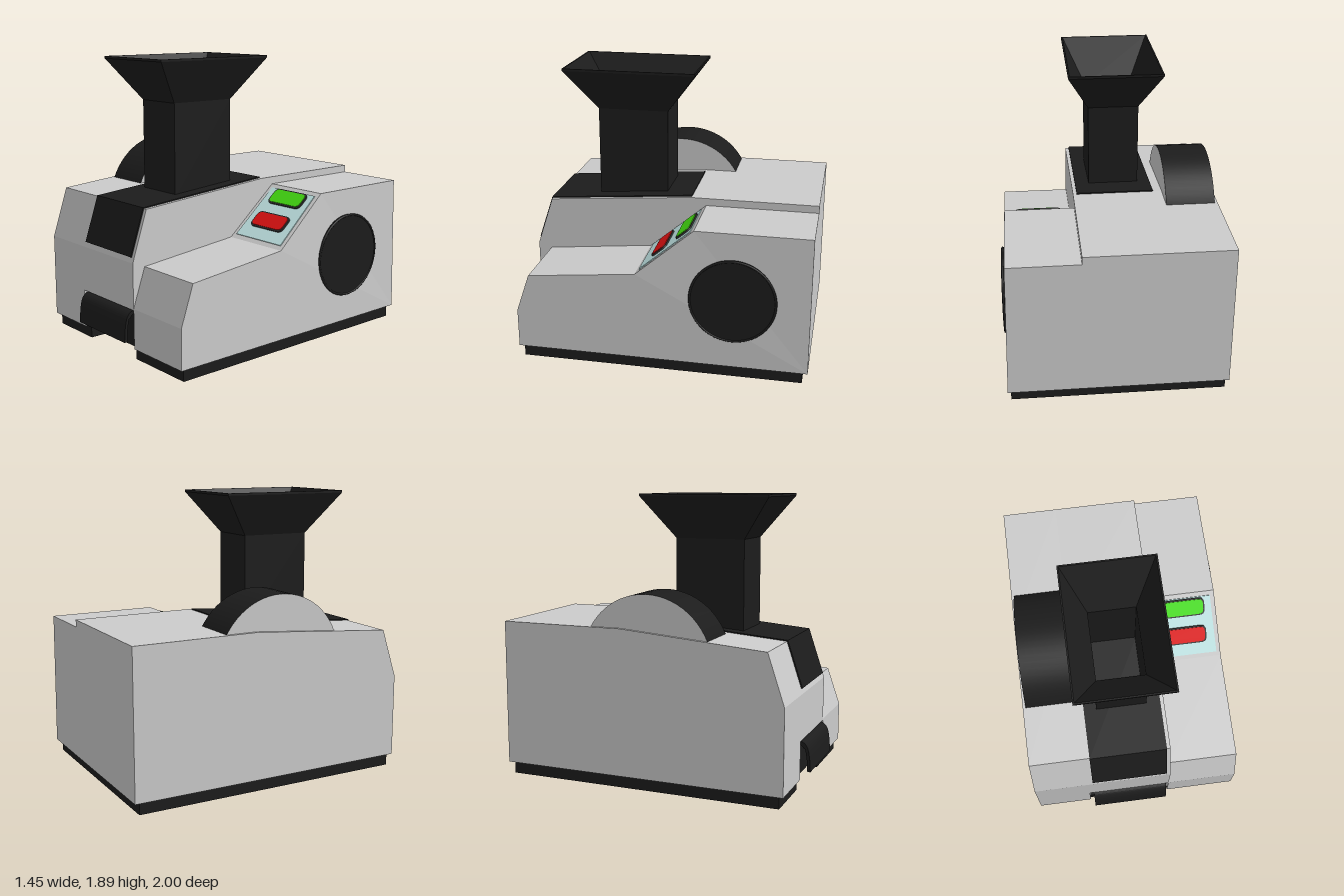
import * as THREE from 'three';

const mat = (color) => new THREE.MeshStandardMaterial({ color, flatShading: false });
const grey = mat(0xcccccc), black = mat(0x1c1c1c), dark = mat(0x333333);

function add(parent, name, geometry, material) {
  const mesh = new THREE.Mesh(geometry, material);
  mesh.name = name;
  parent.add(mesh);
  return mesh;
}

// Side profile of [z, y] points, extruded from x0 to x1
function extrudeX(points, x0, x1) {
  const shape = new THREE.Shape(points.map(([z, y]) => new THREE.Vector2(-z, y)));
  return new THREE.ExtrudeGeometry(shape, { depth: x1 - x0, bevelEnabled: false })
    .rotateY(Math.PI / 2).translate(x0, 0, 0);
}

function box(x0, x1, y0, y1, z0, z1) {
  return new THREE.BoxGeometry(x1 - x0, y1 - y0, z1 - z0)
    .translate((x0 + x1) / 2, (y0 + y1) / 2, (z0 + z1) / 2);
}

// Flat-shaded skin through rectangular rings [y, x0, x1, z0, z1]
function loftRects(rings) {
  const corners = rings.map(([y, x0, x1, z0, z1]) => [[x0, y, z1], [x1, y, z1], [x1, y, z0], [x0, y, z0]]);
  const pos = [];
  for (let r = 0; r < corners.length - 1; r++) {
    for (let i = 0; i < 4; i++) {
      const j = (i + 1) % 4;
      const a = corners[r][i], b = corners[r][j], c = corners[r + 1][j], d = corners[r + 1][i];
      pos.push(...a, ...b, ...c, ...a, ...c, ...d);
    }
  }
  const g = new THREE.BufferGeometry();
  g.setAttribute('position', new THREE.Float32BufferAttribute(pos, 3));
  g.computeVertexNormals();
  return g;
}

function roundedSlab(w, h, r, depth) {
  const x = w / 2, y = h / 2;
  const s = new THREE.Shape();
  s.moveTo(-x + r, -y);
  s.lineTo(x - r, -y).quadraticCurveTo(x, -y, x, -y + r);
  s.lineTo(x, y - r).quadraticCurveTo(x, y, x - r, y);
  s.lineTo(-x + r, y).quadraticCurveTo(-x, y, -x, y - r);
  s.lineTo(-x, -y + r).quadraticCurveTo(-x, -y, -x + r, -y);
  return new THREE.ExtrudeGeometry(s, { depth, bevelEnabled: false, curveSegments: 6 });
}

export function createModel() {
  const model = new THREE.Group();

  // Main housing, with an outlet recess low in its front
  const upper = [[0.94, 0.64], [0.83, 0.97], [-0.15, 1.05], [-1, 1.05], [-1, 0.08]];
  const housing = new THREE.Group();
  housing.name = 'mainHousing';
  add(housing, 'housingSide', extrudeX([[0.94, 0.08], ...upper], -0.725, -0.35), grey);
  add(housing, 'housingCentre',
    extrudeX([[0.86, 0.08], [0.86, 0.335], [0.94, 0.335], ...upper], -0.35, 0.225), grey);
  model.add(housing);

  // Lower control housing, its outer wall leaning in at the top
  const control = extrudeX([[0.94, 0.08], [0.94, 0.345], [0.85, 0.605], [0.13, 0.68],
    [-0.25, 1], [-1, 1], [-1, 0.08]], 0.225, 0.71);
  const p = control.attributes.position;
  for (let i = 0; i < p.count; i++) {
    if (p.getX(i) > 0.5 && p.getY(i) > 0.99) p.setX(i, 0.69);
  }
  control.computeVertexNormals();
  add(model, 'controlHousing', control, grey);

  // Base plate with a channel open to the front
  const plan = [[-0.705, -0.91], [-0.32, -0.91], [-0.32, 0.1], [0.205, 0.1], [0.205, -0.91],
    [0.69, -0.91], [0.69, 0.965], [-0.705, 0.965]];
  const base = new THREE.Shape(plan.map(([x, y]) => new THREE.Vector2(x, y)));
  add(model, 'basePlate', new THREE.ExtrudeGeometry(base, { depth: 0.08, bevelEnabled: false })
    .rotateX(-Math.PI / 2), black);

  // Outlet chute and its curved flap
  add(model, 'outletChute', box(-0.32, 0.205, 0.074, 0.325, -0.1, 0.9), black);
  const outer = new THREE.CatmullRomCurve3([[0.88, 0.33], [0.945, 0.325], [0.975, 0.295],
    [0.992, 0.23], [1, 0.13]].map(([z, y]) => new THREE.Vector3(z, y, 0)))
    .getPoints(16).map((v) => [v.x, v.y]);
  const inner = outer.map(([z, y]) => [z - 0.02, y - (z < 0.98 ? 0.016 : 0)]).reverse();
  add(model, 'outletFlap', extrudeX([...outer, ...inner], -0.32, 0.205), black);

  // Cover plate folded over the front and top
  add(model, 'coverPlate', extrudeX([[0.925, 0.67], [0.938, 0.675], [0.836, 0.977],
    [-0.15, 1.058], [-0.15, 1.04], [0.82, 0.96]], -0.32, 0.2), black);

  // Hollow feed hopper: outside up, over the rim, and down inside
  add(model, 'hopper', loftRects([
    [0.98, -0.235, 0.105, 0.035, 0.51],
    [1.6, -0.235, 0.105, 0.035, 0.51],
    [1.875, -0.375, 0.245, -0.17, 0.715],
    [1.89, -0.375, 0.245, -0.17, 0.715],
    [1.89, -0.365, 0.235, -0.16, 0.705],
    [1.6, -0.22, 0.09, 0.045, 0.497],
    [1.02, -0.22, 0.09, 0.045, 0.497],
    [1.02, -0.065, -0.065, 0.27, 0.27],
  ]), black);

  // Wheel rising through the top: black rim, grey faces
  const wheel = add(model, 'wheel',
    new THREE.CylinderGeometry(0.45, 0.45, 0.325, 64), [black, grey, grey]);
  wheel.rotation.z = Math.PI / 2;
  wheel.position.set(-0.5425, 0.825, 0.025);

  // Round side cover with a raised rim
  const cover = new THREE.Group();
  cover.name = 'sideCover';
  cover.position.set(0.7, 0.545, -0.505);
  cover.rotation.y = Math.PI / 2;
  add(cover, 'coverDisc', new THREE.CylinderGeometry(0.28, 0.28, 0.03, 64).rotateX(Math.PI / 2), black);
  add(cover, 'coverRim', new THREE.TorusGeometry(0.277, 0.008, 8, 64).translate(0, 0, 0.012), black);
  model.add(cover);

  // Sloped control panel with two buttons
  const panel = new THREE.Group();
  panel.name = 'controlPanel';
  panel.position.set(0.46, 0.84, -0.06);
  panel.rotation.x = -0.871;
  const face = new THREE.Shape([[-0.205, -0.215], [0.22, -0.215], [0.2, 0.215], [-0.205, 0.215]]
    .map(([x, y]) => new THREE.Vector2(x, y)));
  add(panel, 'panelFace', new THREE.ExtrudeGeometry(face, { depth: 0.006, bevelEnabled: false }), mat(0xbfe3e3));
  for (const [name, y, color] of [['startButton', 0.145, 0x44dd11], ['stopButton', -0.062, 0xdd1111]]) {
    const button = new THREE.Group();
    button.name = name;
    button.position.set(0.005, y, 0);
    add(button, 'bezel', roundedSlab(0.3, 0.128, 0.04, 0.016), dark);
    add(button, 'cap', roundedSlab(0.28, 0.108, 0.034, 0.02), mat(color));
    panel.add(button);
  }
  model.add(panel);

  return model;
}
